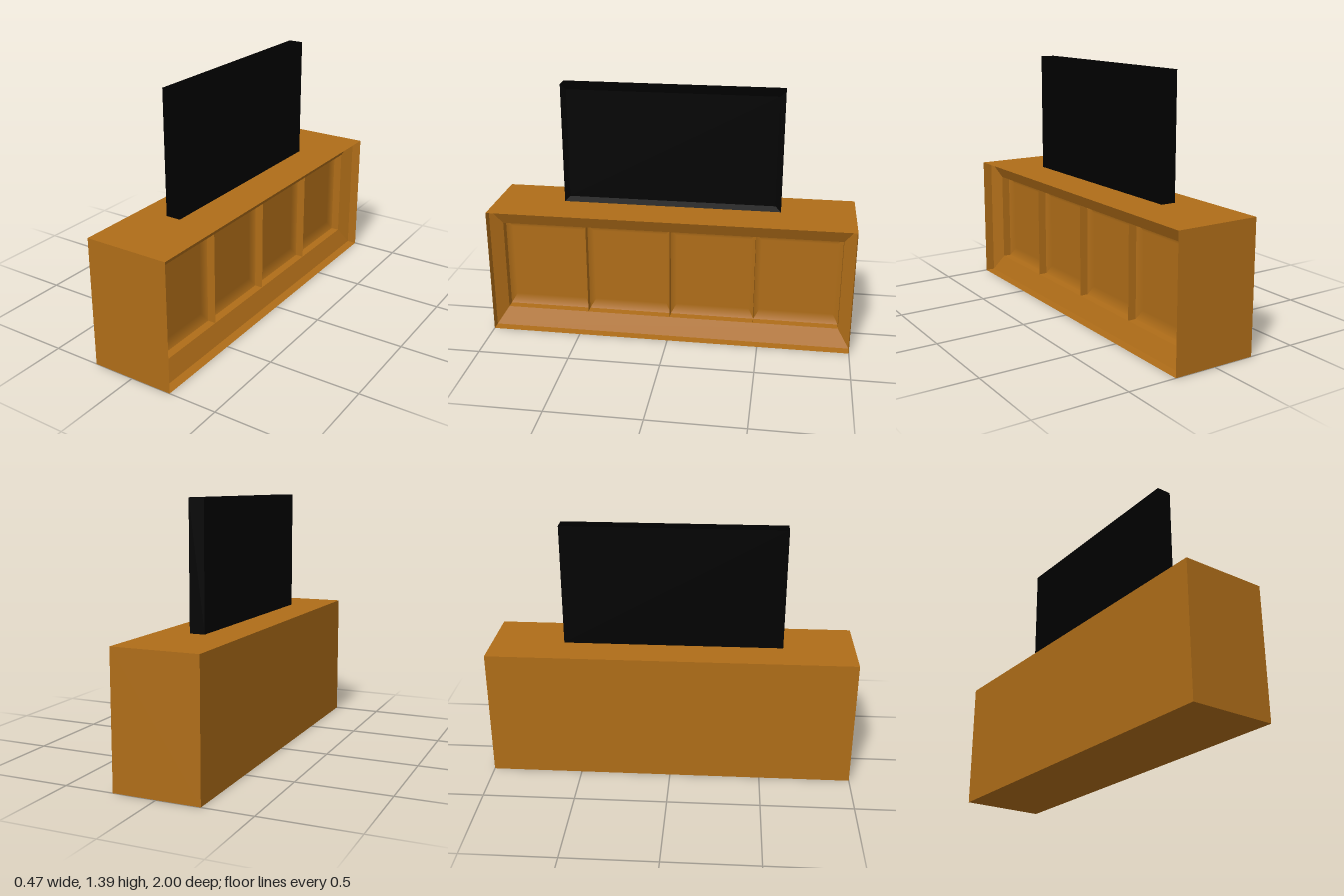
import * as THREE from 'three';

// Rectangular cross-section at depth x, corners counter-clockwise seen from +x
const rect = (x, y0, y1, z0, z1) => [[x, y0, z1], [x, y0, z0], [x, y1, z0], [x, y1, z1]];

// Joins rectangles in order with flat faces, optionally capping the first and last
function loft(name, material, sections, capStart, capEnd) {
  const pos = [];
  const quad = (a, b, c, d) => [a, b, c, a, c, d].forEach((corner) => pos.push(...corner));
  for (let s = 0; s + 1 < sections.length; s++) {
    const a = sections[s], b = sections[s + 1];
    for (let i = 0; i < 4; i++) {
      const j = (i + 1) % 4;
      quad(a[i], a[j], b[j], b[i]);
    }
  }
  if (capStart) quad(...[...sections[0]].reverse());
  if (capEnd) quad(...sections[sections.length - 1]);
  const geometry = new THREE.BufferGeometry();
  geometry.setAttribute('position', new THREE.Float32BufferAttribute(pos, 3));
  geometry.computeVertexNormals();
  const mesh = new THREE.Mesh(geometry, material);
  mesh.name = name;
  return mesh;
}

// Blends sloped faces softly into the flat panel that lies at depth x
function softenAt(mesh, x) {
  const { position, normal } = mesh.geometry.attributes;
  for (let i = 0; i < position.count; i++) {
    if (Math.abs(position.getX(i) - x) < 1e-4) normal.setXYZ(i, 1, 0, 0);
  }
  return mesh;
}

export function createModel() {
  const wood = new THREE.MeshStandardMaterial({ color: 0xaf6d18 });
  wood.name = 'brown wood';
  const black = new THREE.MeshStandardMaterial({ color: 0x000000 });
  black.name = 'black plastic';

  const model = new THREE.Group();
  model.name = 'televisionOnCabinet';

  // Cabinet shell: closed back, thin rim, sloped inner frame
  const cabinet = new THREE.Group();
  cabinet.name = 'cabinet';
  cabinet.add(loft('cabinetShell', wood, [
    rect(-0.234, 0, 0.71, -1, 1),
    rect(0.234, 0, 0.71, -1, 1),
    rect(0.181, 0, 0.71, -1, 1),
    rect(0.136, 0.095, 0.616, -0.938, 0.938),
  ], true, false));

  // Four recessed compartments with chamfered backs
  const backX = 0.064;
  for (let i = 0; i < 4; i++) {
    const z0 = -0.938 + i * 0.469, z1 = z0 + 0.469;
    cabinet.add(softenAt(loft('compartment' + (i + 1), wood, [
      rect(0.136, 0.095, 0.616, z0, z1),
      rect(0.089, 0.095, 0.616, z0, z1),
      rect(backX, 0.145, 0.57, z0 + 0.03, z1 - 0.03),
    ], false, true), backX));
  }
  model.add(cabinet);

  // Flat television with a slightly sunken screen
  model.add(loft('television', black, [
    rect(-0.058, 0.722, 1.39, -0.594, 0.607),
    rect(0.024, 0.722, 1.39, -0.594, 0.607),
    rect(0.016, 0.752, 1.36, -0.564, 0.577),
  ], true, true));

  return model;
}
